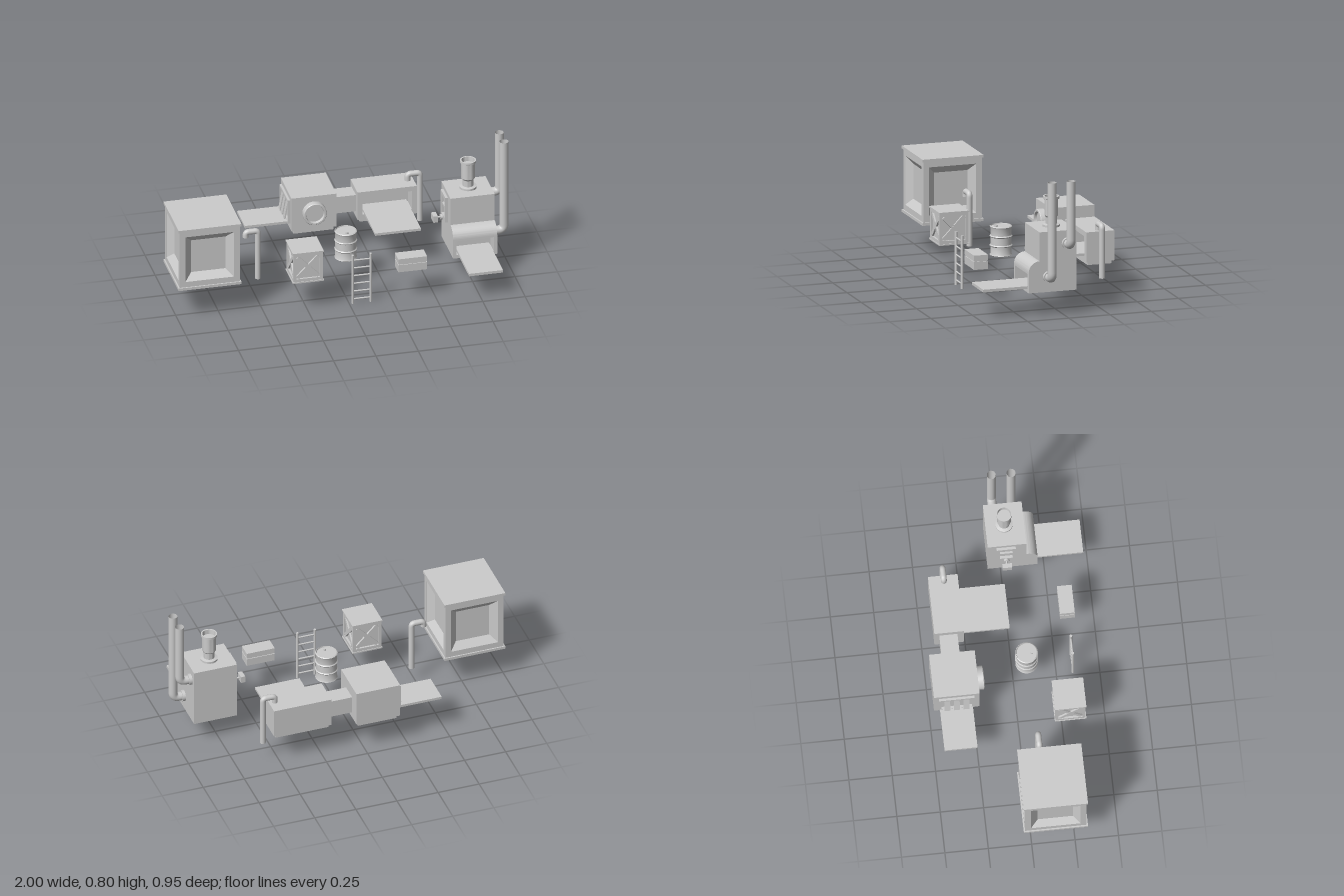
import * as THREE from 'three';
import { toCreasedNormals } from 'three/addons/utils/BufferGeometryUtils.js';

const grey = new THREE.MeshStandardMaterial({ color: 0xcccccc });
const thin = new THREE.MeshStandardMaterial({ color: 0xcccccc, side: THREE.DoubleSide });
const facet = new THREE.MeshStandardMaterial({ color: 0xcccccc, side: THREE.DoubleSide, flatShading: true });
const V = (x, y, z) => new THREE.Vector3(x, y, z);

function add(parent, name, geo, x = 0, y = 0, z = 0, mat = grey) {
  const m = new THREE.Mesh(geo, mat);
  m.name = name;
  m.position.set(x, y, z);
  parent.add(m);
  return m;
}

function group(parent, name, x = 0, y = 0, z = 0) {
  const g = new THREE.Group();
  g.name = name;
  g.position.set(x, y, z);
  parent.add(g);
  return g;
}

// Box given by its minimum and maximum on each axis
function span(parent, name, x0, x1, y0, y1, z0, z1) {
  return add(parent, name, new THREE.BoxGeometry(x1 - x0, y1 - y0, z1 - z0),
    (x0 + x1) / 2, (y0 + y1) / 2, (z0 + z1) / 2);
}

// Side outline (z, y) extruded from x0 to x1
function sideProfile(parent, name, shape, x0, x1) {
  let g = new THREE.ExtrudeGeometry(shape, { depth: x1 - x0, bevelEnabled: false, curveSegments: 12 });
  g = toCreasedNormals(g.rotateY(-Math.PI / 2), 0.6);
  return add(parent, name, g, x1, 0, 0);
}

// Rectangular frame facing +z, back at z = 0
function frameGeo(w, h, iw, ih, d) {
  const rect = (C, a, b) => {
    const s = new C();
    s.moveTo(-a / 2, -b / 2).lineTo(a / 2, -b / 2).lineTo(a / 2, b / 2).lineTo(-a / 2, b / 2).closePath();
    return s;
  };
  const s = rect(THREE.Shape, w, h);
  s.holes.push(rect(THREE.Path, iw, ih));
  return new THREE.ExtrudeGeometry(s, { depth: d, bevelEnabled: false });
}

// Tube through points with rounded corners
function pipe(parent, name, pts, r, bend) {
  const path = new THREE.CurvePath();
  let from = pts[0];
  for (let i = 1; i < pts.length - 1; i++) {
    const a = pts[i].clone().add(pts[i - 1].clone().sub(pts[i]).setLength(bend));
    const b = pts[i].clone().add(pts[i + 1].clone().sub(pts[i]).setLength(bend));
    path.add(new THREE.LineCurve3(from, a));
    path.add(new THREE.QuadraticBezierCurve3(a, pts[i], b));
    from = b;
  }
  path.add(new THREE.LineCurve3(from, pts[pts.length - 1]));
  return add(parent, name, new THREE.TubeGeometry(path, 64, r, 16), 0, 0, 0, thin);
}

const lathe = (pts, n = 28) => toCreasedNormals(
  new THREE.LatheGeometry(pts.map(p => new THREE.Vector2(p[0], p[1])), n), 0.6);

// Crate with recessed side panels, either bevelled or cross-braced
function crate(root, name, x, y, z, w, h, slab, depth, border, braced) {
  const c = group(root, name, x, y, z), b = w - slab;
  for (const s of [-1, 1])
    add(c, s > 0 ? 'lid' : 'base', new THREE.BoxGeometry(w, slab, w), 0, s * (h - slab) / 2, 0);
  add(c, 'core', new THREE.BoxGeometry(b - 2 * depth, h - slab, b - 2 * depth));
  const hole = b - 2 * border, fh = h - 2 * slab;
  for (let i = 0; i < 4; i++) {
    const side = group(c, 'sidePanel');
    side.rotation.y = i * Math.PI / 2;
    add(side, 'frame', frameGeo(b, fh, hole, fh - 2 * border, depth), 0, 0, b / 2 - depth);
    if (braced) {
      for (const s of [-1, 1]) {
        const brace = add(side, 'brace', new THREE.BoxGeometry(hole * 1.3, 0.022, depth), 0, 0, b / 2 - depth / 2 - 0.002 + s * 0.0005);
        brace.rotation.z = s * Math.atan2(fh - 2 * border, hole);
      }
    } else {
      const bevel = new THREE.CylinderGeometry(hole / Math.SQRT2, hole * 0.71 / Math.SQRT2, depth, 4, 1, true)
        .rotateY(Math.PI / 4).rotateX(Math.PI / 2).scale(1, (fh - 2 * border) / hole, 1);
      add(side, 'bevel', bevel, 0, 0, b / 2 - depth / 2, facet);
    }
  }
}

export function createModel() {
  const root = new THREE.Group();
  root.name = 'factoryParts';

  crate(root, 'largeCrate', -0.815, 0.39, 0.14, 0.37, 0.39, 0.016, 0.035, 0.034, false);
  crate(root, 'smallCrate', -0.25, 0.287, 0.295, 0.182, 0.195, 0.008, 0.012, 0.018, true);

  // Free-standing bent pipes
  pipe(root, 'leftPipe', [V(-0.478, 0.095, 0.093), V(-0.478, 0.402, 0.093), V(-0.55, 0.402, 0.093), V(-0.55, 0.37, 0.093)], 0.017, 0.018);
  pipe(root, 'rightPipe', [V(0.582, 0.113, -0.345), V(0.582, 0.419, -0.345), V(0.51, 0.419, -0.345), V(0.51, 0.37, -0.345)], 0.017, 0.018);

  // Processing machine
  const press = group(root, 'processingMachine');
  span(press, 'body', -0.205, 0.06, 0.203, 0.415, -0.478, -0.215);
  span(press, 'base', -0.19, 0.045, 0.178, 0.203, -0.46, -0.23);
  span(press, 'inputTray', -0.47, -0.2, 0.235, 0.25, -0.445, -0.255);
  span(press, 'connector', 0.055, 0.2, 0.24, 0.345, -0.405, -0.3);
  const porthole = add(press, 'porthole', lathe([[0.069, -0.01], [0.069, 0.033], [0.065, 0.037], [0.055, 0.037], [0.051, 0.022], [0, 0.022]]), -0.073, 0.313, -0.215, thin);
  porthole.rotation.x = Math.PI / 2;
  const inlet = group(press, 'inlet', -0.205, 0.313, -0.348);
  inlet.rotation.y = -Math.PI / 2;
  add(inlet, 'inletFrame', frameGeo(0.205, 0.15, 0.175, 0.12, 0.014));
  for (let i = -1; i <= 1; i++) {
    const flap = add(inlet, 'inletFlap', new THREE.BoxGeometry(0.034, 0.12, 0.008), i * 0.055, 0, 0.014);
    flap.rotation.x = -0.18;
  }

  // Output machine with an open front
  const out = group(root, 'outputMachine');
  const slot = new THREE.Shape();
  slot.moveTo(-0.433, 0.203).lineTo(-0.262, 0.203).lineTo(-0.262, 0.235).lineTo(-0.36, 0.235)
    .lineTo(-0.36, 0.35).lineTo(-0.262, 0.35).lineTo(-0.262, 0.38).lineTo(-0.433, 0.38).closePath();
  sideProfile(out, 'body', slot, 0.225, 0.515);
  span(out, 'rightCheek', 0.195, 0.225, 0.203, 0.38, -0.433, -0.262);
  span(out, 'leftCheek', 0.515, 0.545, 0.203, 0.38, -0.433, -0.262);
  span(out, 'base', 0.21, 0.53, 0.183, 0.203, -0.42, -0.275);
  span(out, 'outputTray', 0.235, 0.505, 0.233, 0.248, -0.36, 0.005);

  // Furnace with a rounded front hood
  const furnace = group(root, 'furnace');
  const hood = notch => {
    const s = new THREE.Shape();
    s.moveTo(-0.078, 0.14).lineTo(0.21, 0.14);
    if (notch) s.lineTo(0.21, 0.16).lineTo(0.13, 0.16).lineTo(0.13, 0.25).lineTo(0.21, 0.25);
    s.lineTo(0.21, 0.26);
    s.absarc(0.145, 0.26, 0.065, 0, Math.PI / 2, false);
    s.lineTo(0.145, 0.495).lineTo(-0.078, 0.495).closePath();
    return s;
  };
  sideProfile(furnace, 'body', hood(true), 0.665, 0.885);
  sideProfile(furnace, 'rightCheek', hood(false), 0.645, 0.665);
  sideProfile(furnace, 'leftCheek', hood(false), 0.885, 0.905);
  span(furnace, 'furnaceTray', 0.675, 0.875, 0.16, 0.176, 0.12, 0.476);
  add(furnace, 'chimney', lathe([[0.05, 0], [0.05, 0.012], [0.032, 0.016], [0.032, 0.055], [0.04, 0.066], [0.04, 0.16],
    [0.047, 0.164], [0.047, 0.178], [0.038, 0.178], [0.036, 0.15], [0, 0.15]]), 0.776, 0.495, 0.03, thin);

  // Window and valve on the right side
  const windowFrame = add(furnace, 'windowFrame', frameGeo(0.11, 0.16, 0.075, 0.12, 0.016), 0.645, 0.39, 0.028);
  windowFrame.rotation.y = -Math.PI / 2;
  span(furnace, 'windowBar', 0.633, 0.645, 0.383, 0.397, -0.015, 0.07);
  const rod = add(furnace, 'valveRod', new THREE.CylinderGeometry(0.006, 0.006, 0.07, 12), 0.615, 0.322, 0.028);
  rod.rotation.z = Math.PI / 2;
  span(furnace, 'valveHandle', 0.566, 0.592, 0.302, 0.342, 0, 0.055);
  const flange = add(furnace, 'valveFlange', new THREE.CylinderGeometry(0.016, 0.016, 0.012, 16), 0.618, 0.322, 0.028);
  flange.rotation.z = Math.PI / 2;

  // Exhaust stacks
  for (const [y, z] of [[0.23, 0.092], [0.42, -0.022]]) {
    pipe(furnace, 'exhaustStack', [V(0.9, y, z), V(0.973, y, z), V(0.973, 0.8, z)], 0.026, 0.035);
    const collar = add(furnace, 'exhaustCollar', new THREE.CylinderGeometry(0.033, 0.033, 0.02, 24), 0.913, y, z);
    collar.rotation.z = Math.PI / 2;
  }

  // Barrel
  const barrel = group(root, 'barrel', 0.043, 0.16, 0.082);
  add(barrel, 'drum', lathe([[0, 0.006], [0.058, 0.006], [0.06, 0], [0.065, 0.004], [0.061, 0.012], [0.061, 0.054], [0.066, 0.06], [0.061, 0.066],
    [0.061, 0.109], [0.066, 0.115], [0.061, 0.121], [0.061, 0.163], [0.065, 0.171], [0.06, 0.175], [0.058, 0.168], [0, 0.168]]), 0, 0, 0, thin);
  add(barrel, 'bung', new THREE.CylinderGeometry(0.008, 0.008, 0.012, 12), 0, 0.172, 0.03);

  // Ladder
  const ladder = group(root, 'ladder', 0.073, 0, 0.346);
  for (const s of [-1, 1])
    add(ladder, 'rail', new THREE.CylinderGeometry(0.008, 0.008, 0.312, 12), s * 0.053, 0.156, 0);
  for (let i = 0; i < 6; i++) {
    const rung = add(ladder, 'rung', new THREE.CylinderGeometry(0.005, 0.005, 0.106, 10), 0, 0.028 + i * 0.05, 0);
    rung.rotation.z = Math.PI / 2;
  }

  // Small chest
  const chest = group(root, 'chest');
  span(chest, 'box', 0.28, 0.45, 0.188, 0.234, 0.3, 0.385);
  span(chest, 'seam', 0.285, 0.445, 0.23, 0.246, 0.305, 0.38);
  span(chest, 'lid', 0.28, 0.45, 0.241, 0.272, 0.3, 0.385);

  return root;
}
